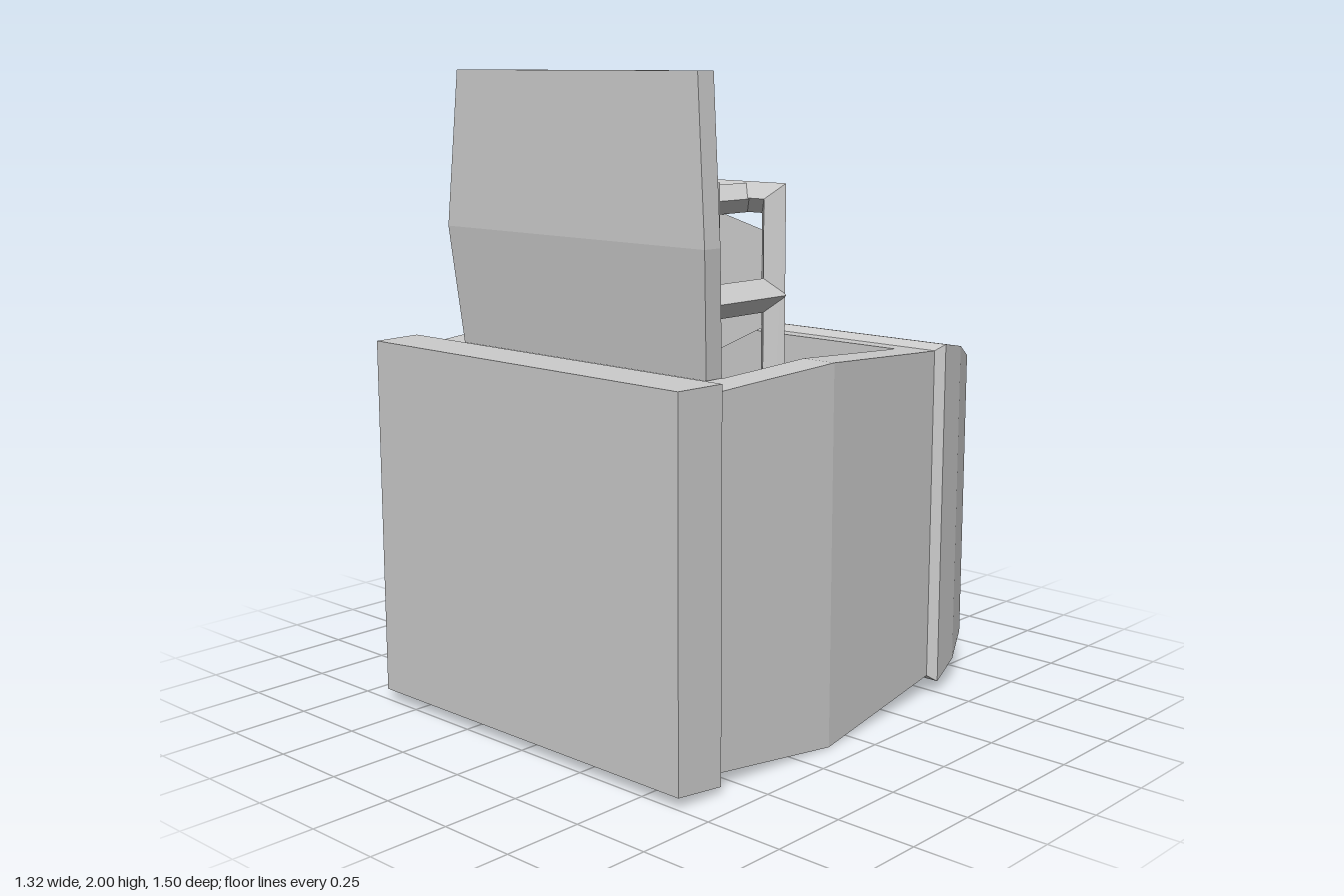
import * as THREE from 'three';

const material = new THREE.MeshStandardMaterial({ color: 0xcccccc, flatShading: true });

function add(parent, name, geometry, x = 0, y = 0, z = 0) {
  const mesh = new THREE.Mesh(geometry, material);
  mesh.name = name;
  mesh.position.set(x, y, z);
  parent.add(mesh);
  return mesh;
}

// Flat-faced geometry from a list of four-cornered faces
function fromQuads(quads) {
  const points = quads.flatMap(([a, b, c, d]) => [a, b, c, a, c, d]).flat();
  const geometry = new THREE.BufferGeometry();
  geometry.setAttribute('position', new THREE.Float32BufferAttribute(points, 3));
  geometry.computeVertexNormals();
  return geometry;
}

// Casing: rectangular sections along z, with a deep well opening in the top
function casingGeometry() {
  // z, half width, bottom, top, half width of the well (0 = none)
  const sections = [
    [0.75, 0.64, 0.035, 1.17, 0],
    [0.585, 0.65, 0.02, 1.17, 0],
    [0.56, 0.622, 0.045, 1.142, 0],
    [0.44, 0.632, 0.033, 1.15, 0.52],
    [0.11, 0.66, 0, 1.17, 0.545],
    [-0.39, 0.613, 0.052, 1.135, 0.51],
    [-0.47, 0.605, 0.06, 1.13, 0],
    [-0.495, 0.63, 0.04, 1.15, 0],
    [-0.63, 0.595, 0.075, 1.125, 0],
    [-0.75, 0.54, 0.13, 1.075, 0],
  ];
  const inset = 0.025, floor = 0.08;
  const ring = ([z, w, y0, y1]) => [[-w, y1, z], [w, y1, z], [w, y0, z], [-w, y0, z]];
  // Corners of the well: left top, right top, right floor, left floor
  const well = ([z, , y0, y1, h]) => {
    const fz = z === 0.44 ? z - inset : z === -0.39 ? z + inset : z;
    const f = h - inset, y = y0 + floor;
    return [[-h, y1, z], [h, y1, z], [f, y, fz], [-f, y, fz]];
  };
  const quads = [];
  for (let k = 0; k < sections.length - 1; k++) {
    const [p, q] = [sections[k], sections[k + 1]];
    const s = ring(p), t = ring(q);
    const open = p[4] > 0 && q[4] > 0;
    for (let i = open ? 1 : 0; i < 4; i++) {
      const j = (i + 1) % 4;
      quads.push([s[i], s[j], t[j], t[i]]);
    }
    if (open) {
      const a = well(p), b = well(q);
      quads.push([s[0], a[0], b[0], t[0]], [a[1], s[1], t[1], b[1]]); // rim
      quads.push([a[1], b[1], b[2], a[2]], [a[0], a[3], b[3], b[0]]); // side walls
      quads.push([a[3], a[2], b[2], b[3]]); // floor
    }
  }
  quads.push(ring(sections[0]).reverse(), ring(sections[9])); // end faces
  quads.push(well(sections[3]), well(sections[5]).reverse()); // well ends
  return fromQuads(quads);
}

// Raised lid with a slight bend at mid height
function lidGeometry() {
  const geometry = new THREE.BoxGeometry(1, 2, 0.065, 1, 2, 1);
  const rows = { '-1': [1.15, 0.515, 0.468], 0: [1.52, 0.54, 0.503], 1: [2, 0.5, 0.488] };
  const p = geometry.attributes.position;
  for (let i = 0; i < p.count; i++) {
    const [y, w, z] = rows[Math.round(p.getY(i))];
    p.setXYZ(i, Math.sign(p.getX(i)) * w, y, z + p.getZ(i));
  }
  return geometry;
}

// Diamond-section rod along y; mitres slant the top and bottom ends in x
function rod(r, length, topMitre = 0, bottomMitre = 0) {
  const geometry = new THREE.CylinderGeometry(r, r, length, 4);
  const p = geometry.attributes.position;
  for (let i = 0; i < p.count; i++) {
    const y = p.getY(i);
    p.setY(i, y + p.getX(i) * (y > 0 ? topMitre : bottomMitre));
  }
  return geometry;
}

// Shallow eight-sided dish whose wide face looks along +x
function dishGeometry() {
  const geometry = new THREE.CylinderGeometry(0.212, 0.13, 0.045, 8);
  return geometry.rotateZ(-Math.PI / 2);
}

export function createModel() {
  const model = new THREE.Group();
  model.name = 'openCase';

  add(model, 'casing', casingGeometry());
  add(model, 'lid', lidGeometry());

  // Rack: upright panel with a frame of rods behind it
  const rack = new THREE.Group();
  rack.name = 'rack';
  model.add(rack);
  add(rack, 'rackPanel', new THREE.BoxGeometry(0.78, 1.6, 0.045), 0, 0.885, 0.328);

  const r = 0.047, frameZ = -0.034, topY = 1.617, floorY = 0.1;
  for (const side of [-1, 1]) {
    add(rack, 'rackPost', rod(r, topY - floorY, side, 0), side * 0.307, (topY + floorY) / 2, frameZ);
    add(rack, 'sideRod', rod(0.052, 0.34).rotateX(Math.PI / 2), side * 0.307, 1.325, 0.136);
  }
  add(rack, 'topRail', rod(r, 0.614, 1, -1).rotateZ(Math.PI / 2), 0, topY, frameZ);
  for (const x of [-0.2, 0, 0.2]) {
    add(rack, 'topRod', rod(0.045, 0.34).rotateX(Math.PI / 2), x, topY - 0.003, 0.136);
  }

  // Dishes held in the rack, one of them turned
  for (const x of [-0.235, -0.155, -0.072]) add(rack, 'dish', dishGeometry(), x, 1.365, 0.075);
  const turned = add(rack, 'turnedDish', dishGeometry(), 0.165, 1.365, 0.07);
  turned.rotation.y = -0.45;

  // Hollow six-sided spout on the panel
  const profile = [[0.04, 0.12], [0.04, -0.125], [0.066, -0.125], [0.066, 0.12]];
  const spout = new THREE.LatheGeometry(profile.map(([x, y]) => new THREE.Vector2(x, y)), 6);
  add(rack, 'spout', spout.rotateX(Math.PI / 2), 0.07, 1.14, 0.185);

  return model;
}
